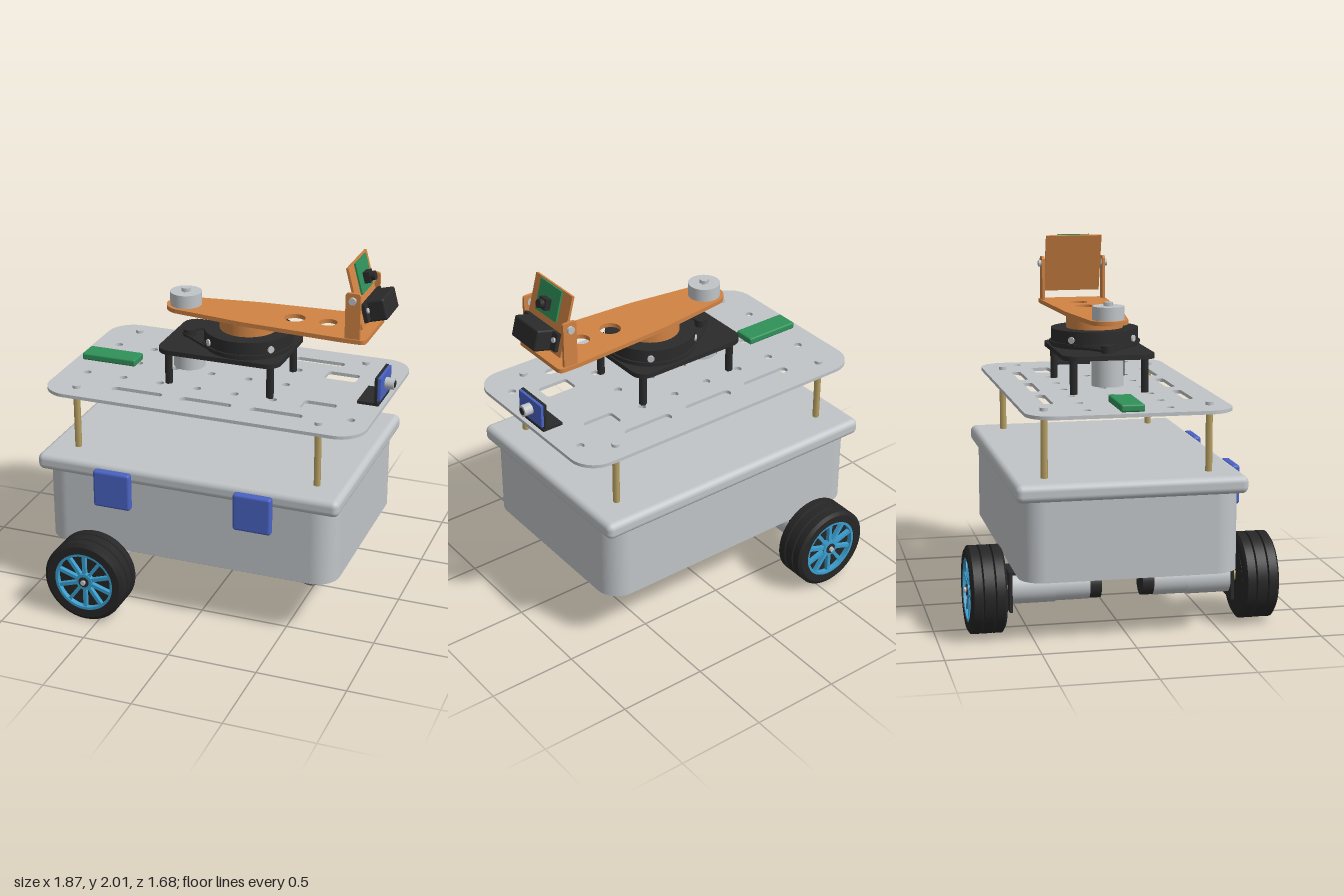
import * as THREE from 'three';
import { RoundedBoxGeometry } from 'three/addons/geometries/RoundedBoxGeometry.js';

const mat = (name, color) => Object.assign(new THREE.MeshStandardMaterial({ color }), { name });

export function createModel() {
  const silver = mat('silver', 0xc1c5c8), black = mat('black', 0x2b2b2c), tyre = mat('tyre', 0x262627);
  const orange = mat('orange', 0xd08344), blue = mat('blue', 0x4a63c4), green = mat('green', 0x2f9159);
  const brass = mat('brass', 0xb8a163), rimBlue = mat('rim blue', 0x3a9fd0), grey = mat('caster grey', 0x77797c);
  const root = new THREE.Group();

  const add = (name, geo, m, x = 0, y = 0, z = 0, parent = root) => {
    const o = new THREE.Mesh(geo, m);
    o.name = name;
    o.position.set(x, y, z);
    parent.add(o);
    return o;
  };
  const group = (name, x = 0, y = 0, z = 0) => {
    const g = new THREE.Group();
    g.name = name;
    g.position.set(x, y, z);
    root.add(g);
    return g;
  };
  const box = (x, y, z) => new THREE.BoxGeometry(x, y, z);
  const cylY = (r, h, n = 40) => new THREE.CylinderGeometry(r, r, h, n);
  const cylZ = (r, h, n = 40) => cylY(r, h, n).rotateX(Math.PI / 2);
  const cylX = (r, h, n = 32) => cylY(r, h, n).rotateZ(-Math.PI / 2);

  // Rounded rectangle centred on (cx, cy)
  const roundRect = (cx, cy, w, h, r, S = THREE.Shape) => {
    const s = new S(), a = w / 2 - r, b = h / 2 - r;
    [[a, b], [-a, b], [-a, -b], [a, -b]].forEach(([x, y], i) =>
      s.absarc(cx + x, cy + y, r, i * Math.PI / 2, (i + 1) * Math.PI / 2, false));
    s.closePath();
    return s;
  };
  // Outline around two circles on the x axis
  const hull = (x1, r1, x2, r2, S = THREE.Shape) => {
    const a = Math.acos((r1 - r2) / (x2 - x1)), s = new S();
    s.absarc(x1, 0, r1, a, 2 * Math.PI - a, false);
    s.absarc(x2, 0, r2, -a, a, false);
    s.closePath();
    return s;
  };
  const hole = (x, y, r) => new THREE.Path().absarc(x, y, r, 0, Math.PI * 2, true);
  // Horizontal slab standing on local y = 0
  const slab = (shape, h) => new THREE.ExtrudeGeometry(shape, { depth: h, bevelEnabled: false, curveSegments: 16 })
    .rotateX(-Math.PI / 2);

  // Body tub and lid
  add('bodyTub', slab(roundRect(-0.058, 0, 1.685, 1.17, 0.13), 0.435), silver, 0, 0.345);
  add('lid', new RoundedBoxGeometry(1.74, 0.095, 1.23, 5, 0.035), silver, -0.06, 0.82);
  for (const x of [-0.463, 0.348]) add('latch', new RoundedBoxGeometry(0.215, 0.215, 0.048, 3, 0.015), blue, x, 0.742, 0.643);

  // Upper deck with slots, windows and a grid of holes
  const deck = roundRect(-0.02, 0, 1.83, 1.1, 0.15);
  for (const s of [-1, 1]) {
    for (const x of [-0.422, -0.02, 0.382]) deck.holes.push(roundRect(x, s * 0.38, 0.296, 0.054, 0.026, THREE.Path));
    deck.holes.push(roundRect(0.567, s * 0.215, 0.185, 0.105, 0.02, THREE.Path));
    deck.holes.push(hole(0.785, s * 0.33, 0.022));
  }
  for (let i = 0; i < 6; i++) for (const z of [-0.22, 0, 0.22]) deck.holes.push(hole(-0.79 + i * 0.22, z, 0.022));
  add('deck', slab(deck, 0.019), silver, 0, 1.203);
  for (const x of [-0.755, 0.64]) for (const z of [-0.44, 0.44]) {
    add('deckPost', cylY(0.019, 0.34, 6), brass, x, 1.034, z);
    add('deckBolt', cylY(0.022, 0.018, 20), silver, x, 1.23, z);
  }
  add('circuitModule', new RoundedBoxGeometry(0.325, 0.04, 0.127, 3, 0.01), green, -0.732, 1.242);

  // Distance sensor on an angle bracket
  add('sensorFoot', box(0.12, 0.016, 0.22), black, 0.81, 1.23);
  add('sensorUpright', box(0.016, 0.16, 0.22), black, 0.853, 1.302);
  add('sensorBoard', box(0.016, 0.13, 0.21), blue, 0.869, 1.315);
  add('sensorBarrel', cylX(0.032, 0.055), silver, 0.9, 1.318);
  add('sensorLens', cylX(0.02, 0.006), black, 0.927, 1.318);

  // Turntable stand
  add('standPlate', slab(roundRect(-0.011, 0, 0.707, 0.51, 0.08), 0.026), black, 0, 1.41);
  for (const x of [-0.305, 0.285]) for (const z of [-0.197, 0.197])
    add('standLeg', cylY(0.021, 0.19, 6), black, x, 1.316, z);
  add('turnMotor', cylY(0.088, 0.15), silver, -0.26, 1.335);
  add('drivePulley', cylY(0.036, 0.042, 24), black, -0.258, 1.456);
  const belt = hull(-0.258, 0.04, 0.09, 0.25);
  belt.holes.push(hull(-0.258, 0.032, 0.09, 0.24, THREE.Path));
  add('belt', slab(belt, 0.014), black, 0, 1.444);
  add('drumLip', cylY(0.255, 0.012, 56), black, 0.09, 1.459);
  add('drum', cylY(0.245, 0.1, 56), black, 0.09, 1.485);
  for (const a of [0.72, -0.95, 2.3, -2.4]) {
    const b = add('drumBolt', cylX(0.019, 0.02, 16), silver, 0.09 + 0.243 * Math.cos(a), 1.487, 0.243 * Math.sin(a));
    b.rotation.y = -a;
  }
  add('turntableHub', cylY(0.16, 0.065, 48), orange, 0.09, 1.567);

  // Swinging arm with counterweight
  const arm = new THREE.Shape();
  arm.absarc(-0.275, 0, 0.11, 1.85, 2 * Math.PI - 1.85, false);
  arm.lineTo(0.1, -0.162);
  arm.lineTo(0.68, -0.197);
  arm.absarc(0.78, -0.167, 0.03, -Math.PI / 2, 0, false);
  arm.absarc(0.78, 0.167, 0.03, 0, Math.PI / 2, false);
  arm.lineTo(0.68, 0.197);
  arm.lineTo(0.1, 0.162);
  arm.closePath();
  arm.holes.push(hole(0.355, 0, 0.058), hole(0.545, 0, 0.05));
  add('arm', slab(arm, 0.024), orange, 0, 1.598);
  add('counterweight', cylY(0.088, 0.074), silver, -0.278, 1.659);
  add('counterweightNut', cylY(0.026, 0.022, 6), silver, -0.278, 1.706);

  // Camera bracket cheeks and pivots
  for (const s of [-1, 1]) {
    const cheek = new THREE.ExtrudeGeometry(roundRect(0.735, 1.74, 0.082, 0.27, 0.015), { depth: 0.016, bevelEnabled: false });
    add('headCheek', cheek, orange, 0, 0, s * 0.182 - 0.008);
    add('headPivot', cylZ(0.02, 0.035, 20), silver, 0.735, 1.835, s * 0.189);
  }

  // Tilting head
  const head = group('tiltHead', 0.735, 1.835);
  head.rotation.z = 0.26;
  add('headPlate', box(0.014, 0.342, 0.332), orange, 0, 0, 0, head);
  add('cameraBoard', box(0.01, 0.172, 0.19), green, 0.02, 0.084, 0, head);
  add('cameraBlock', box(0.035, 0.06, 0.06), black, 0.043, 0.068, 0, head);
  add('cameraLens', cylX(0.024, 0.026, 24), black, 0.072, 0.068, 0, head);
  add('rangeFinder', new RoundedBoxGeometry(0.115, 0.118, 0.22, 3, 0.012), black, 0.078, -0.094, 0, head);
  add('rangeFinderWings', box(0.022, 0.1, 0.31), black, 0.032, -0.09, 0, head);
  for (const s of [-1, 1]) add('wingBolt', cylX(0.014, 0.012, 16), silver, 0.046, -0.08, s * 0.134, head);

  // Drive wheels and motors, mirrored front to back
  const tyrePts = [[0.155, -0.093], [0.215, -0.095], [0.235, -0.082], [0.235, -0.037], [0.222, -0.032], [0.235, -0.027],
    [0.235, 0.027], [0.222, 0.032], [0.235, 0.037], [0.235, 0.082], [0.215, 0.095], [0.172, 0.095], [0.17, 0.06], [0, 0.06]];
  const ribs = [];
  tyrePts.forEach(([r, y], i) => { // doubled points keep the edges crisp
    ribs.push(new THREE.Vector2(r, y));
    if (i && i < tyrePts.length - 1) ribs.push(new THREE.Vector2(r, y + 1e-5));
  });
  for (const s of [-1, 1]) {
    const w = group('driveWheel', -0.57, 0.24, s * 0.735);
    if (s < 0) w.rotation.y = Math.PI;
    add('tyre', new THREE.LatheGeometry(ribs, 64).rotateX(Math.PI / 2), tyre, 0, 0, 0, w).material.side = THREE.DoubleSide;
    add('innerDisc', cylZ(0.158, 0.02), tyre, 0, 0, -0.084, w);
    const ring = new THREE.Shape().absarc(0, 0, 0.172, 0, Math.PI * 2, false);
    ring.holes.push(hole(0, 0, 0.157));
    add('rim', new THREE.ExtrudeGeometry(ring, { depth: 0.03, bevelEnabled: false, curveSegments: 32 }), rimBlue, 0, 0, 0.062, w);
    for (let i = 0; i < 10; i++) {
      const a = i * Math.PI / 5 + Math.PI / 10;
      add('spoke', box(0.13, 0.02, 0.024), rimBlue, 0.1 * Math.cos(a), 0.1 * Math.sin(a), 0.073, w).rotation.z = a;
    }
    add('wheelHub', cylZ(0.048, 0.03), rimBlue, 0, 0, 0.075, w);
    add('hubCap', cylZ(0.03, 0.01, 24), black, 0, 0, 0.09, w);
    add('axleTip', cylZ(0.014, 0.03, 16), silver, 0, 0, 0.092, w);
    add('axle', cylZ(0.04, 0.06, 6), brass, -0.57, 0.245, s * 0.625);
    add('motorFace', box(0.2, 0.215, 0.016), black, -0.57, 0.236, s * 0.605);
    add('motorFlange', box(0.2, 0.014, 0.15), black, -0.57, 0.338, s * 0.532);
    add('gearbox', cylZ(0.088, 0.24), silver, -0.57, 0.24, s * 0.48);
    add('driveMotor', cylZ(0.083, 0.2), silver, -0.57, 0.24, s * 0.275);
    add('motorCap', cylZ(0.08, 0.07), black, -0.57, 0.24, s * 0.147);
  }

  // Swivel caster
  add('casterPlate', box(0.23, 0.012, 0.175), silver, 0.565, 0.339);
  add('casterSwivel', cylY(0.078, 0.034), silver, 0.565, 0.318);
  add('casterBridge', box(0.115, 0.01, 0.125), silver, 0.503, 0.298);
  for (const s of [-1, 1]) add('casterFork', box(0.115, 0.23, 0.01), silver, 0.503, 0.185, s * 0.058);
  const cw = [[0, -0.04], [0.07, -0.045], [0.085, -0.036], [0.092, -0.018], [0.092, 0.018], [0.085, 0.036], [0.07, 0.045], [0, 0.04]]
    .map(([r, y]) => new THREE.Vector2(r, y));
  add('casterWheel', new THREE.LatheGeometry(cw, 40).rotateX(Math.PI / 2), grey, 0.48, 0.092);
  add('casterAxle', cylZ(0.016, 0.135, 16), silver, 0.48, 0.092);
  return root;
}
